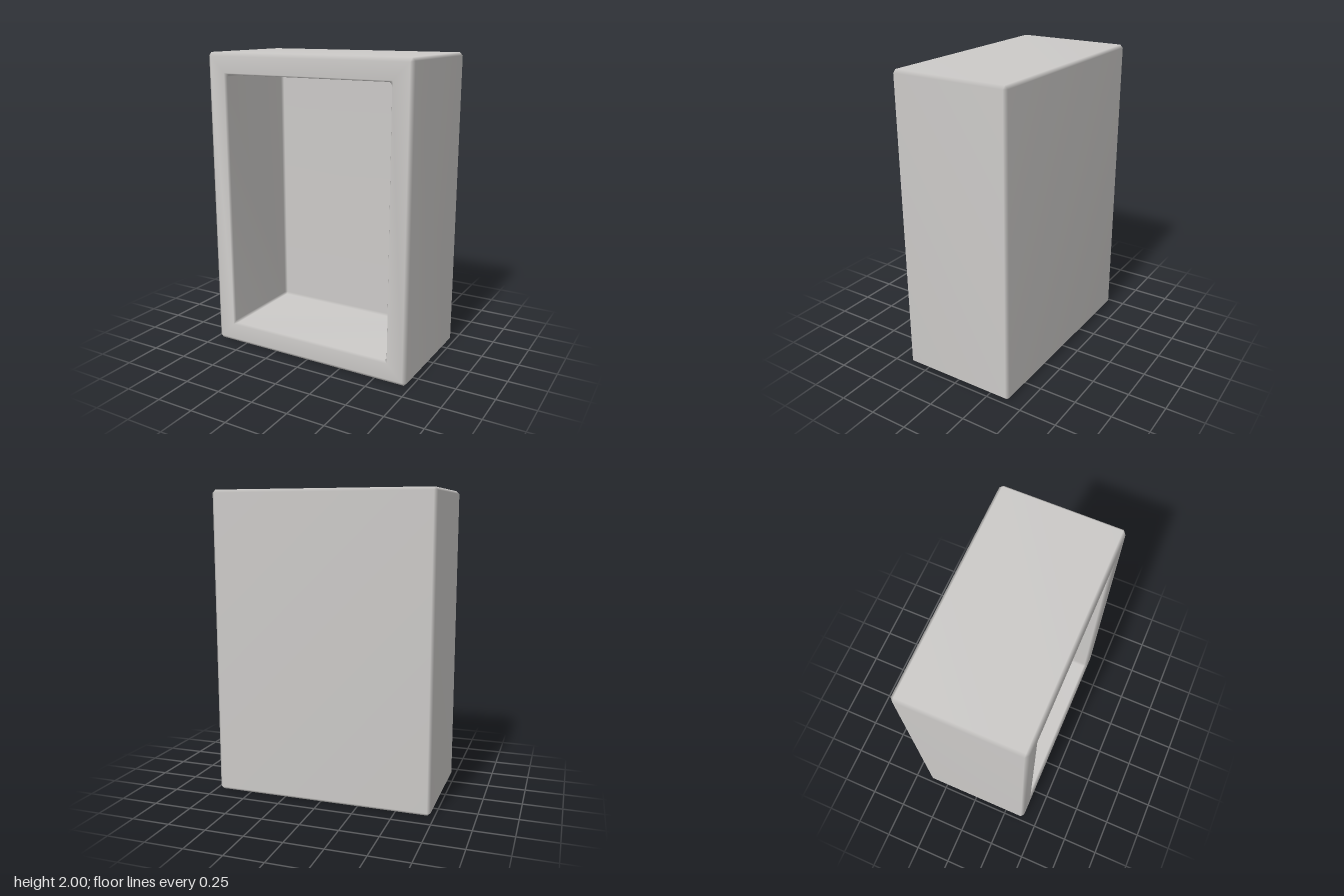
import * as THREE from 'three';
import { mergeVertices } from 'three/addons/utils/BufferGeometryUtils.js';

const H = 1; // half height

// Rectangle with cut corners, counter-clockwise seen from the front
function ring(x, y, z, cut) {
  return [
    [x - cut, -y], [x, -y + cut], [x, y - cut], [x - cut, y],
    [-x + cut, y], [-x, y - cut], [-x, -y + cut], [-x + cut, -y],
  ].map(([px, py]) => [px, py + H, z]);
}

// Skin a sequence of rings and close both ends
function loft(rings) {
  const n = rings[0].length;
  const index = [];
  for (let r = 0; r < rings.length - 1; r++) {
    for (let i = 0; i < n; i++) {
      const a = r * n + i, b = r * n + (i + 1) % n;
      index.push(a, b, b + n, a, b + n, a + n);
    }
  }
  const last = (rings.length - 1) * n;
  for (let i = 1; i < n - 1; i++) {
    index.push(0, i + 1, i);
    index.push(last, last + i, last + i + 1);
  }
  const geometry = new THREE.BufferGeometry();
  geometry.setAttribute('position', new THREE.Float32BufferAttribute(rings.flat(2), 3));
  geometry.setIndex(index);
  const merged = mergeVertices(geometry, 1e-4);
  merged.computeVertexNormals();
  return merged;
}

export function createModel() {
  const group = new THREE.Group();
  group.name = 'openBox';
  const paint = new THREE.MeshStandardMaterial({ color: 0xcccac8 });
  paint.name = 'lightGrey';

  const shell = new THREE.Mesh(loft([
    ring(0.705, 0.98, -0.395, 0),     // back panel
    ring(0.725, 1.0, -0.375, 0.02),   // outer walls, back
    ring(0.725, 1.0, 0.375, 0.02),    // outer walls, front
    ring(0.70, 0.975, 0.395, 0),      // frame, outer edge
    ring(0.595, 0.87, 0.395, 0),      // frame, inner edge
    ring(0.585, 0.86, 0.375, 0.015),  // cavity walls, front
    ring(0.585, 0.86, -0.24, 0.015),  // cavity walls, back
    ring(0.57, 0.845, -0.255, 0),     // cavity back panel
  ]), paint);
  shell.name = 'boxShell';
  group.add(shell);
  return group;
}
